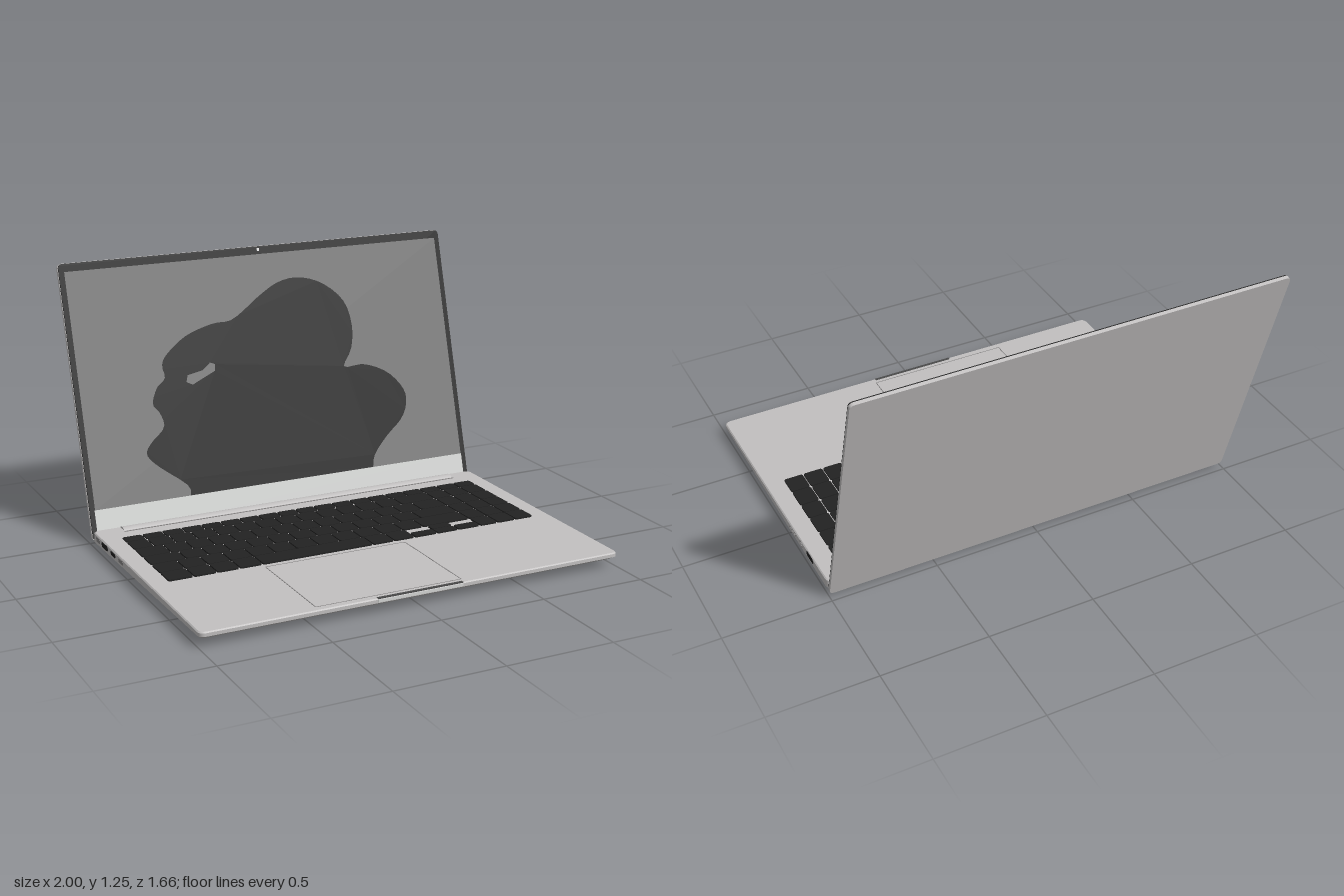
import * as THREE from 'three';
import { toCreasedNormals } from 'three/addons/utils/BufferGeometryUtils.js';

const mat = (name, color) => {
  const m = new THREE.MeshStandardMaterial({ color });
  m.name = name;
  return m;
};
const M = {
  silver: mat('silver', 0xc2c0c0),
  black: mat('black', 0x222222),
  screen: mat('screenGrey', 0x7a7a7a),
  chin: mat('paleGrey', 0xd4d6d4),
  groove: mat('grooveGrey', 0x868484),
  rubber: mat('rubber', 0x4a4a4a),
  white: mat('white', 0xf0f0f0),
};

function add(parent, name, geo, material, x = 0, y = 0, z = 0) {
  const m = new THREE.Mesh(geo, material);
  m.name = name;
  m.position.set(x, y, z);
  parent.add(m);
  return m;
}
const box = (w, h, d) => new THREE.BoxGeometry(w, h, d);

// Rounded plate in the XY plane, from z = 0 to z = depth
function plate(x0, y0, x1, y1, r, depth) {
  const s = new THREE.Shape();
  s.absarc(x1 - r, y1 - r, r, 0, Math.PI / 2);
  s.absarc(x0 + r, y1 - r, r, Math.PI / 2, Math.PI);
  s.absarc(x0 + r, y0 + r, r, Math.PI, Math.PI * 1.5);
  s.absarc(x1 - r, y0 + r, r, Math.PI * 1.5, Math.PI * 2);
  return new THREE.ExtrudeGeometry(s, { depth, bevelEnabled: false, curveSegments: 4 });
}

const BACK = -0.455, FRONT = 0.83;
const slope = (front, back) => z => back + (front - back) * (z - BACK) / (FRONT - BACK);
const deckY = slope(0.07, 0.075);
const floorY = slope(0.014, 0.02);

// Wedge-shaped body lofted through rounded rectangles
function bodyGeometry() {
  const low = slope(0.05, 0.03);
  const rings = [
    [0.005, 0.005, deckY],
    [0, 0, z => deckY(z) - 0.005],
    [0, 0, low],
    [0.015, 0.03, z => low(z) * 0.5 + floorY(z) * 0.5],
    [0.04, 0.1, floorY],
  ].map(([side, front, y]) => {
    const pts = [], r = 0.025;
    for (let c = 0; c < 4; c++) for (let i = 0; i <= 4; i++) {
      const a = (c + i / 4) * Math.PI / 2;
      const cx = (c === 0 || c === 3 ? 1 : -1) * (1 - side - r);
      const cz = c < 2 ? FRONT - front - r : BACK + Math.min(side, 0.02) + r;
      const z = cz + r * Math.sin(a);
      pts.push([cx + r * Math.cos(a), y(z), z]);
    }
    return pts;
  });
  const pos = [], tri = (...p) => p.forEach(v => pos.push(...v));
  const n = rings[0].length, top = rings[0], bottom = rings[rings.length - 1];
  for (let i = 0; i < n; i++) {
    const j = (i + 1) % n;
    tri([0, deckY(0.2), 0.2], top[j], top[i]);
    tri([0, floorY(0.2), 0.2], bottom[i], bottom[j]);
    for (let k = 0; k < rings.length - 1; k++) {
      const a = rings[k], b = rings[k + 1];
      tri(a[i], a[j], b[i]);
      tri(a[j], b[j], b[i]);
    }
  }
  const g = new THREE.BufferGeometry();
  g.setAttribute('position', new THREE.Float32BufferAttribute(pos, 3));
  return toCreasedNormals(g, 0.4);
}

function buildKeyboard(parent) {
  const keys = new THREE.Group();
  keys.name = 'keyboard';
  parent.add(keys);
  const key = (x0, x1, z0, z1) => {
    const g = plate(x0 + 0.003, -z1, x1 - 0.003, -z0, 0.01, 0.014);
    g.rotateX(-Math.PI / 2);
    add(keys, 'key', g, M.black, 0, 0.0655, 0);
  };
  const span = (a, b, n) => Array.from({ length: n + 1 }, (_, i) => a + (b - a) * i / n);
  const pad = [0.72, 0.817, 0.913];
  // Key edges along x, row by row from the back
  const rows = [
    [-0.305, -0.245, span(-0.915, 0.913, 19)],
    [-0.24, -0.144, [-0.915, ...span(-0.818, 0.443, 12), 0.625, ...pad]],
    [-0.139, -0.037, [-0.915, ...span(-0.78, 0.49, 12), 0.625, ...pad]],
    [-0.032, 0.064, [-0.915, ...span(-0.749, 0.428, 11), 0.625, ...pad]],
    [0.07, 0.171, [-0.915, ...span(-0.797, 0.38, 11), 0.625, ...pad]],
    [0.176, 0.273, [-0.915, -0.797, -0.69, -0.583, -0.475, 0.067, 0.174, 0.281]],
    [0.176, 0.273, [0.625, ...pad]],
    [0.176, 0.222, [0.398, 0.508]],
    [0.226, 0.273, [0.398, 0.508]],
  ];
  for (const [z0, z1, xs] of rows)
    for (let i = 0; i < xs.length - 1; i++) key(xs[i], xs[i + 1], z0, z1);
  // Half-height side arrows
  key(0.281, 0.398, 0.222, 0.273);
  key(0.508, 0.625, 0.222, 0.273);
}

function buildBase(root) {
  const base = new THREE.Group();
  base.name = 'base';
  root.add(base);
  add(base, 'body', bodyGeometry(), M.silver);
  buildKeyboard(base);

  // Touchpad edge grooves
  const px0 = -0.475, px1 = 0.213, pz0 = 0.3, pz1 = 0.795;
  for (const z of [pz0, pz1])
    add(base, 'touchpadEdge', box(px1 - px0, 0.002, 0.003), M.groove, (px0 + px1) / 2, deckY(z), z);
  for (const x of [px0, px1]) {
    const e = add(base, 'touchpadEdge', box(0.004, 0.002, pz1 - pz0), M.groove, x, deckY(0.5475), 0.5475);
    e.rotation.x = 0.004;
  }
  // Opening notch in the front lip
  add(base, 'frontNotch', box(0.41, 0.004, 0.014), M.rubber, 0, 0.069, 0.822);
  add(base, 'frontNotchFace', box(0.41, 0.012, 0.004), M.chin, 0, 0.059, 0.829);

  // Hinge cover and its slot
  add(base, 'hingeSlot', box(1.74, 0.003, 0.006), M.groove, 0, 0.075, -0.386);
  const hinge = new THREE.CylinderGeometry(0.034, 0.034, 1.735, 20);
  hinge.rotateZ(Math.PI / 2);
  add(base, 'hingeCover', hinge, M.silver, 0, 0.06, -0.425).scale.y = 0.7;

  // Underside vents and feet
  for (const z of [-0.395, -0.365])
    add(base, 'vent', box(1.6, 0.004, 0.012), M.rubber, 0, floorY(z), z);
  const foot = new THREE.CylinderGeometry(0.045, 0.032, 0.026, 24);
  for (const x of [-0.91, 0.91]) for (const z of [-0.315, 0.645])
    add(base, 'foot', foot, M.rubber, x, 0.013, z);

  // Side ports: side, z centre, y, width, height, material
  const ports = [
    [1, -0.055, 0.053, 0.07, 0.018, M.groove], [1, -0.055, 0.053, 0.062, 0.011, M.silver],
    [1, -0.155, 0.056, 0.03, 0.03, M.groove], [1, -0.155, 0.056, 0.022, 0.022, M.silver],
    [1, -0.258, 0.057, 0.076, 0.026, M.black],
    [-1, -0.38, 0.055, 0.05, 0.024, M.groove], [-1, -0.29, 0.055, 0.08, 0.024, M.black],
    [-1, -0.18, 0.055, 0.06, 0.018, M.black], [-1, -0.08, 0.055, 0.06, 0.018, M.groove],
  ];
  for (const [side, z, y, w, h, m] of ports) {
    const depth = m === M.silver ? 0.003 : 0.002;
    const p = add(base, 'port', plate(-w / 2, -h / 2, w / 2, h / 2, h * 0.42, depth), m, side * 0.999, y, z);
    p.rotation.y = side * Math.PI / 2;
  }
}

function buildLid(root) {
  const lid = new THREE.Group();
  lid.name = 'lid';
  lid.position.set(0, 0.025, -0.454);
  lid.rotation.x = -0.282;
  root.add(lid);
  add(lid, 'lidShell', plate(-1, 0, 1, 1.28, 0.022, 0.016), M.silver, 0, 0, -0.022);
  add(lid, 'bezel', plate(-0.998, 0.002, 0.998, 1.278, 0.02, 0.006), M.black, 0, 0, -0.006);
  add(lid, 'chin', box(1.95, 0.13, 0.002), M.chin, 0, 0.075, 0.0005);
  add(lid, 'screen', box(1.945, 1.1, 0.002), M.screen, 0, 0.69, 0.0005);
  add(lid, 'webcam', plate(-0.006, -0.008, 0.006, 0.008, 0.005, 0.002), M.white, 0, 1.262, 0);

  // Dark cloud-like picture on the screen
  const toLid = ([x, y]) => new THREE.Vector2(x, (y - 0.025) / 0.96);
  const outline = [
    [-0.5, 0.16], [-0.51, 0.21], [-0.64, 0.31], [-0.69, 0.37], [-0.66, 0.42], [-0.59, 0.48],
    [-0.6, 0.545], [-0.63, 0.59], [-0.6, 0.66], [-0.555, 0.7], [-0.56, 0.76], [-0.525, 0.81],
    [-0.42, 0.88], [-0.28, 0.92], [-0.175, 0.93], [-0.015, 1.03], [0.09, 1.08], [0.2, 1.09],
    [0.32, 1.05], [0.42, 0.96], [0.45, 0.84], [0.43, 0.73], [0.38, 0.65], [0.49, 0.65],
    [0.61, 0.6], [0.685, 0.52], [0.7, 0.45], [0.66, 0.37], [0.57, 0.3], [0.49, 0.22], [0.47, 0.16],
  ].map(toLid);
  const shape = new THREE.Shape();
  shape.moveTo(outline[0].x, outline[0].y);
  shape.splineThru(outline.slice(1));
  shape.holes.push(new THREE.Path([
    [-0.45, 0.67], [-0.44, 0.7], [-0.36, 0.715], [-0.32, 0.745], [-0.295, 0.735],
    [-0.3, 0.705], [-0.36, 0.68], [-0.42, 0.655],
  ].map(toLid)));
  add(lid, 'screenPicture', new THREE.ShapeGeometry(shape, 3), M.black, 0, 0, 0.003);
}

export function createModel() {
  const root = new THREE.Group();
  root.name = 'laptop';
  buildBase(root);
  buildLid(root);
  return root;
}
